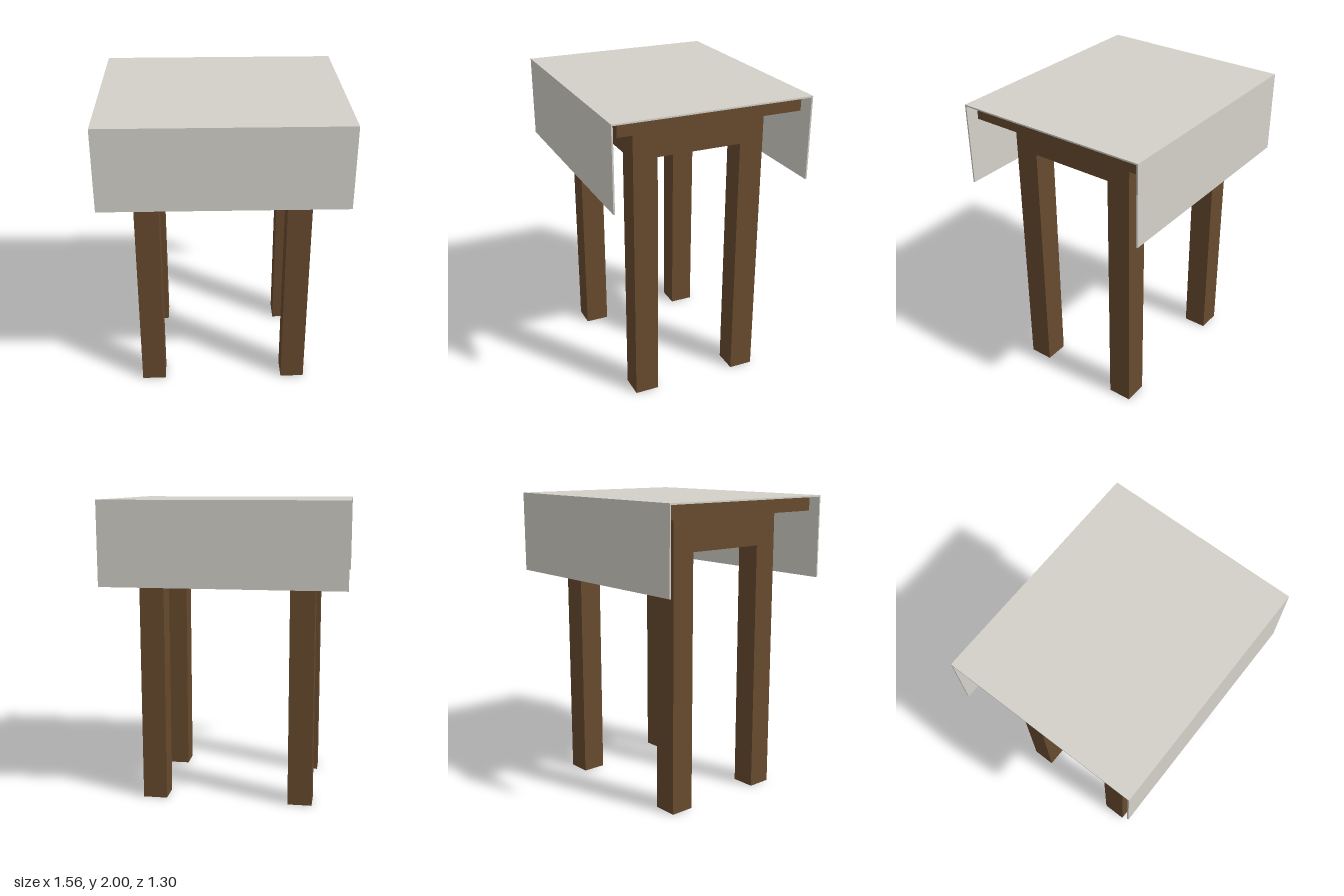
import * as THREE from 'three';

const wood = new THREE.MeshStandardMaterial({ color: 0x684a2e, flatShading: true, side: THREE.DoubleSide });
const linen = new THREE.MeshStandardMaterial({ color: 0xd4d1c9, flatShading: true });

// Box given by its size, its bottom height and its z position
function slab(name, w, h, d, bottom, material, z = 0) {
  const mesh = new THREE.Mesh(new THREE.BoxGeometry(w, h, d), material);
  mesh.name = name;
  mesh.position.set(0, bottom + h / 2, z);
  return mesh;
}

export function createModel() {
  const model = new THREE.Group();
  model.name = 'sideTable';

  // Wooden top and the block below it
  model.add(slab('tableTop', 1.46, 0.09, 1.2, 1.9, wood));
  model.add(slab('apron', 1.14, 0.22, 0.88, 1.68, wood));

  // Four square legs, hollow and open at the foot
  const legHeight = 1.68;
  const legGeometry = new THREE.CylinderGeometry(
    0.08 * Math.SQRT2, 0.08 * Math.SQRT2, legHeight, 4, 1, true, Math.PI / 4);
  for (const [zName, z] of [['front', 0.36], ['back', -0.36]]) {
    for (const [xName, x] of [['Left', 0.49], ['Right', -0.49]]) {
      const leg = new THREE.Mesh(legGeometry, wood);
      leg.name = `${zName}${xName}Leg`;
      leg.position.set(x, legHeight / 2, z);
      model.add(leg);
    }
  }

  // Thin cloth: a flat sheet with a hanging panel at front and back
  const cloth = new THREE.Group();
  cloth.name = 'tablecloth';
  cloth.add(slab('clothTop', 1.56, 0.01, 1.3, 1.99, linen));
  cloth.add(slab('clothFront', 1.56, 0.53, 0.01, 1.46, linen, 0.645));
  cloth.add(slab('clothBack', 1.56, 0.53, 0.01, 1.46, linen, -0.645));
  model.add(cloth);

  return model;
}
